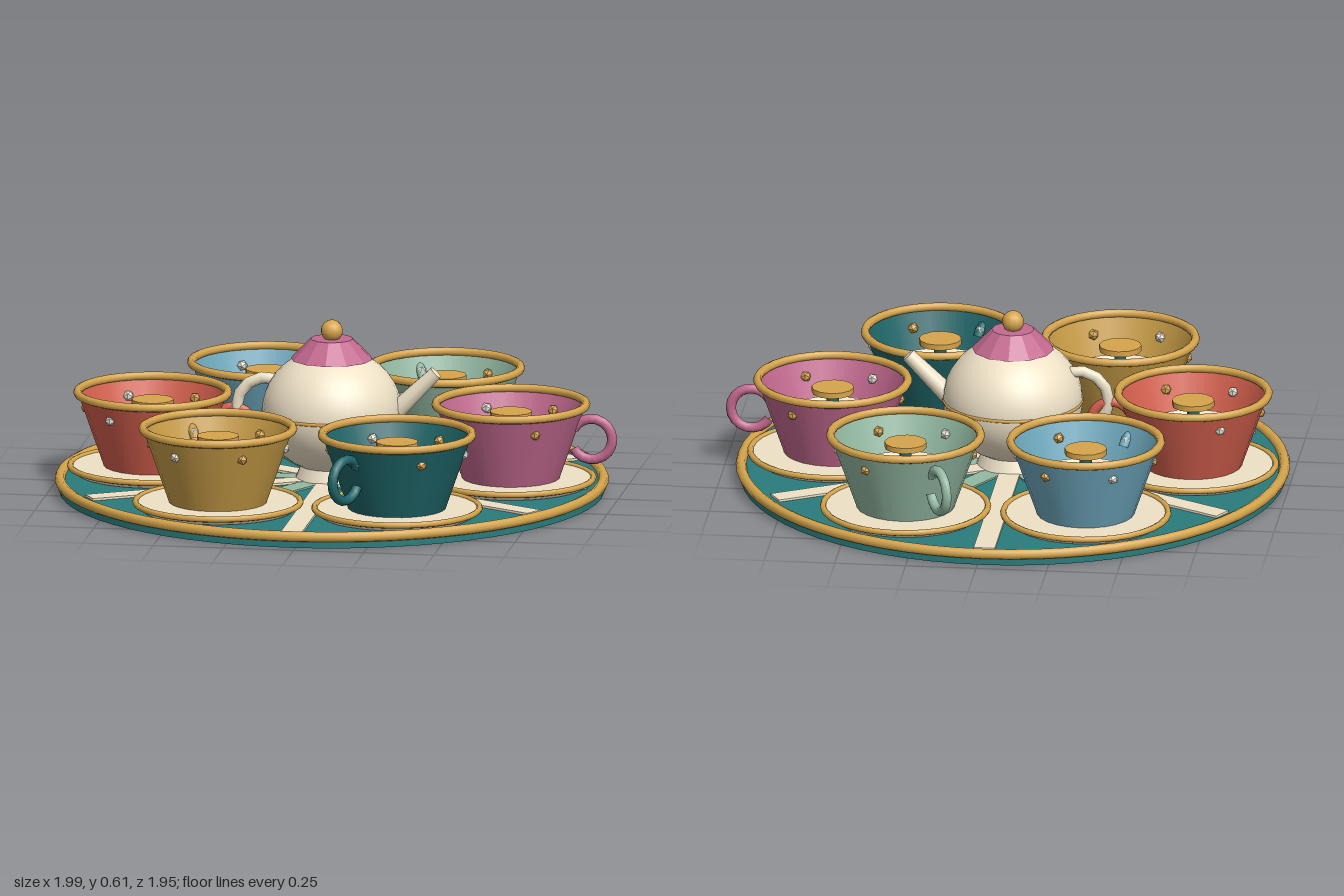
import * as THREE from 'three';

const COLORS = {
  teal: 0x2a7b7c, darkTeal: 0x1f6669, cream: 0xeee1c6, gold: 0xd6a54c, pink: 0xc2698f,
  red: 0xd4604e, mustard: 0xc79c47, blue: 0x6ea8bd, sage: 0x93b9a2, silver: 0xe4dfd2,
};
const mats = {};
for (const [key, color] of Object.entries(COLORS)) mats[key] = new THREE.MeshStandardMaterial({ color });

function add(parent, name, geometry, mat, x = 0, y = 0, z = 0) {
  const mesh = new THREE.Mesh(geometry, typeof mat === 'string' ? mats[mat] : mat);
  mesh.name = name;
  mesh.position.set(x, y, z);
  parent.add(mesh);
  return mesh;
}

// Horizontal ring
function ring(parent, name, R, r, y, mat, segments = 32) {
  const geo = new THREE.TorusGeometry(R, r, 8, segments).rotateX(Math.PI / 2);
  return add(parent, name, geo, mat, 0, y, 0);
}

// Torus arc in the xy plane, spanning from one angle to another
function arc(R, r, from, to, segments) {
  return new THREE.TorusGeometry(R, r, 8, segments, to - from).rotateZ(from);
}

function makePlatform() {
  const g = new THREE.Group();
  g.name = 'platform';
  add(g, 'turntable', new THREE.CylinderGeometry(0.96, 0.96, 0.04, 64), 'teal', 0, 0.02, 0);
  ring(g, 'turntableRim', 0.957, 0.019, 0.04, 'gold', 64);
  // Rays alternate between the gaps (cream) and the cups (sage)
  for (let i = 0; i < 12; i++) {
    const geo = new THREE.BoxGeometry(0.9, 0.008, 0.075).translate(0.465, 0, 0);
    const ray = add(g, 'ray', geo, i % 2 ? 'cream' : 'sage', 0, i % 2 ? 0.044 : 0.042, 0);
    ray.rotation.y = (i * Math.PI) / 6;
  }
  return g;
}

function makeCup(mat) {
  const g = new THREE.Group();
  g.name = 'cup';
  const shell = mats[mat].clone();
  shell.side = THREE.DoubleSide;

  // Saucer
  add(g, 'saucer', new THREE.CylinderGeometry(0.29, 0.27, 0.026, 32), 'cream', 0, 0.055, 0);
  ring(g, 'saucerRim', 0.291, 0.011, 0.066, 'gold');

  // Open bowl with a rolled rim
  const bowl = new THREE.CylinderGeometry(0.264, 0.17, 0.27, 24, 1, true);
  add(g, 'bowl', bowl, shell, 0, 0.195, 0);
  ring(g, 'bowlRim', 0.265, 0.015, 0.33, 'gold');
  add(g, 'handle', arc(0.073, 0.018, -0.85 * Math.PI, 0.85 * Math.PI, 16), mat, 0.288, 0.214, 0);

  // Bench and centre table
  ring(g, 'bench', 0.19, 0.018, 0.185, 'cream', 16);
  add(g, 'tablePost', new THREE.CylinderGeometry(0.022, 0.022, 0.23, 8), 'darkTeal', 0, 0.18, 0);
  add(g, 'table', new THREE.CylinderGeometry(0.075, 0.075, 0.02, 12), 'gold', 0, 0.295, 0);

  // Studs around the bowl
  for (let i = 0; i < 6; i++) {
    const a = (i * Math.PI) / 3;
    const geo = new THREE.IcosahedronGeometry(0.02, 0);
    add(g, 'stud', geo, i % 2 ? 'gold' : 'silver', 0.237 * Math.cos(a), 0.267, 0.237 * Math.sin(a));
  }
  return g;
}

function makeTeapot() {
  const g = new THREE.Group();
  g.name = 'teapot';
  add(g, 'foot', new THREE.CylinderGeometry(0.11, 0.13, 0.05, 24), 'cream', 0, 0.065, 0);
  add(g, 'body', new THREE.SphereGeometry(0.246, 32, 20).scale(1, 0.9, 1), 'cream', 0, 0.287, 0);
  ring(g, 'bodyBand', 0.243, 0.007, 0.284, 'gold');

  // Lid and knob
  const lid = new THREE.CylinderGeometry(0.075, 0.145, 0.072, 12);
  const lidMat = mats.pink.clone();
  lidMat.flatShading = true;
  add(g, 'lid', lid, lidMat, 0, 0.509, 0);
  add(g, 'knob', new THREE.SphereGeometry(0.039, 12, 10), 'gold', 0, 0.573, 0);

  // Slanted spout toward +x, handle toward -x
  const spout = add(g, 'spout', new THREE.CylinderGeometry(0.025, 0.038, 0.28, 10), 'cream', 0.272, 0.335, 0);
  spout.rotation.z = -Math.PI / 4;
  add(g, 'potHandle', arc(0.107, 0.021, 0.4 * Math.PI, 1.6 * Math.PI, 8), 'cream', -0.232, 0.29, 0);
  return g;
}

export function createModel() {
  const model = new THREE.Group();
  model.name = 'teacupRide';
  const ride = new THREE.Group();
  ride.name = 'ride';
  ride.position.x = -0.02;
  model.add(ride);
  ride.add(makePlatform(), makeTeapot());

  // Six cups around the teapot, each spun so the handles vary
  ['pink', 'darkTeal', 'mustard', 'red', 'blue', 'sage'].forEach((mat, i) => {
    const a = (i * Math.PI) / 3;
    const cup = makeCup(mat);
    cup.position.set(0.638 * Math.cos(a), 0, 0.638 * Math.sin(a));
    cup.rotation.y = -2 * a;
    ride.add(cup);
  });
  return model;
}
